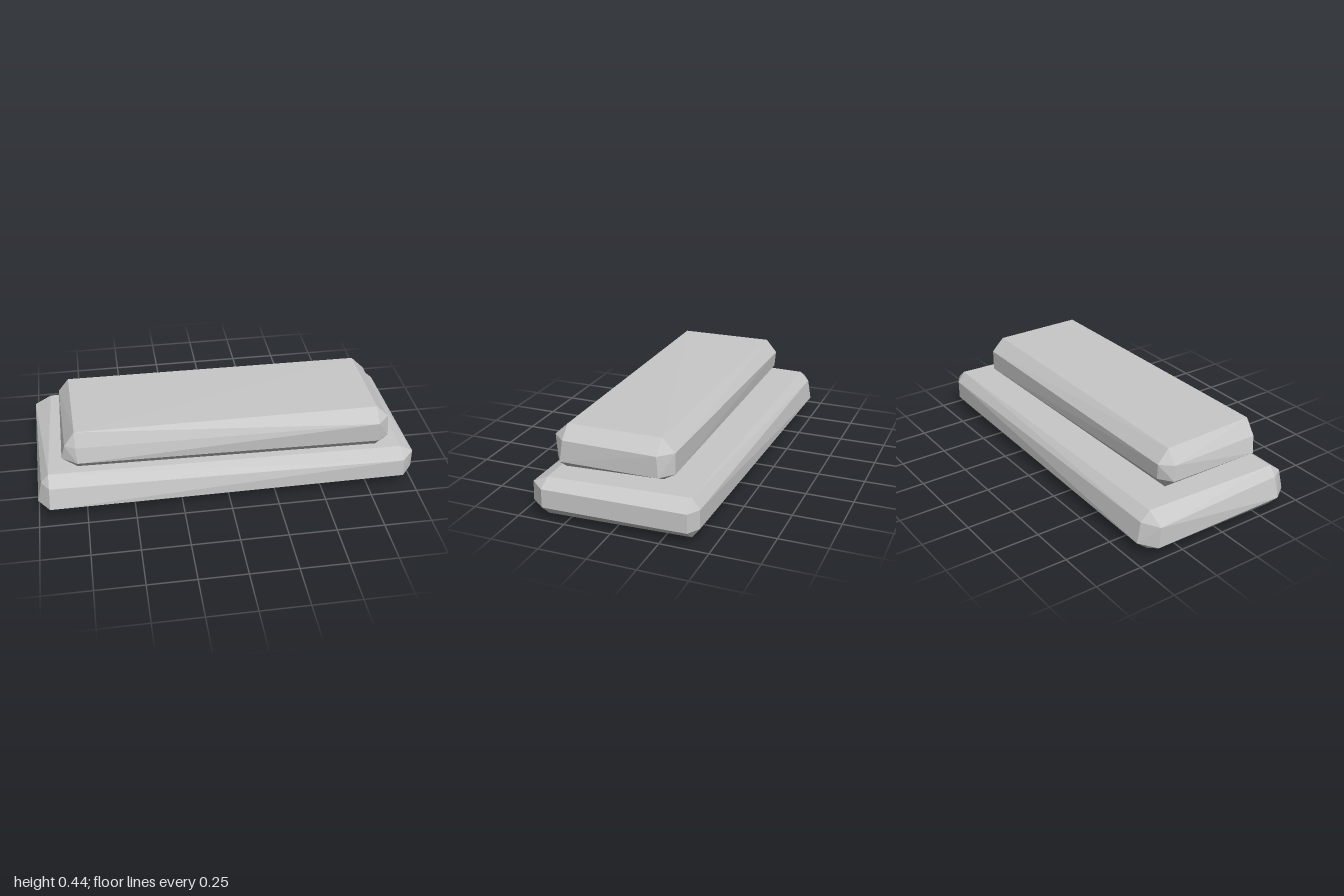
import * as THREE from 'three';
import { ConvexGeometry } from 'three/addons/geometries/ConvexGeometry.js';

const stone = new THREE.MeshStandardMaterial({ color: 0xc8c8c8 });
stone.name = 'light grey stone';

// Rough-hewn slab: every corner [x, y, z, insetX, insetY, insetZ] is cut off,
// leaving one point on each of the three faces that meet there.
function chippedSlab(name, corners) {
  const points = [];
  corners.forEach(([x, y, z, ix, iy, iz], i) => {
    const inX = x - Math.sign(x) * ix;
    const inY = i < 4 ? y + iy : y - iy;
    const inZ = z - Math.sign(z) * iz;
    points.push(
      new THREE.Vector3(x, inY, inZ),
      new THREE.Vector3(inX, y, inZ),
      new THREE.Vector3(inX, inY, z)
    );
  });
  const mesh = new THREE.Mesh(new ConvexGeometry(points), stone);
  mesh.name = name;
  return mesh;
}

export function createModel() {
  const group = new THREE.Group();
  group.name = 'stackedStoneSlabs';

  // Corners run left-front, right-front, right-back, left-back as seen from
  // the front; the four bottom corners come first, then the four top ones
  group.add(chippedSlab('lowerSlab', [
    [-1.0, 0.0, 0.45, 0.06, 0.065, 0.085],
    [1.0, 0.01, 0.445, 0.065, 0.06, 0.08],
    [0.985, 0.02, -0.425, 0.065, 0.052, 0.04],
    [-1.0, 0.015, -0.455, 0.09, 0.05, 0.06],
    [-0.975, 0.225, 0.425, 0.04, 0.047, 0.065],
    [1.0, 0.205, 0.445, 0.07, 0.037, 0.08],
    [0.985, 0.227, -0.425, 0.065, 0.056, 0.04],
    [-1.0, 0.225, -0.435, 0.09, 0.05, 0.05],
  ]));

  group.add(chippedSlab('upperSlab', [
    [-0.86, 0.22, 0.365, 0.08, 0.06, 0.06],
    [0.865, 0.212, 0.375, 0.065, 0.05, 0.045],
    [0.86, 0.228, -0.25, 0.07, 0.035, 0.06],
    [-0.86, 0.228, -0.25, 0.07, 0.06, 0.05],
    [-0.84, 0.445, 0.35, 0.055, 0.08, 0.03],
    [0.86, 0.44, 0.385, 0.065, 0.065, 0.07],
    [0.86, 0.443, -0.25, 0.07, 0.07, 0.07],
    [-0.855, 0.443, -0.255, 0.055, 0.07, 0.06],
  ]));
  return group;
}
